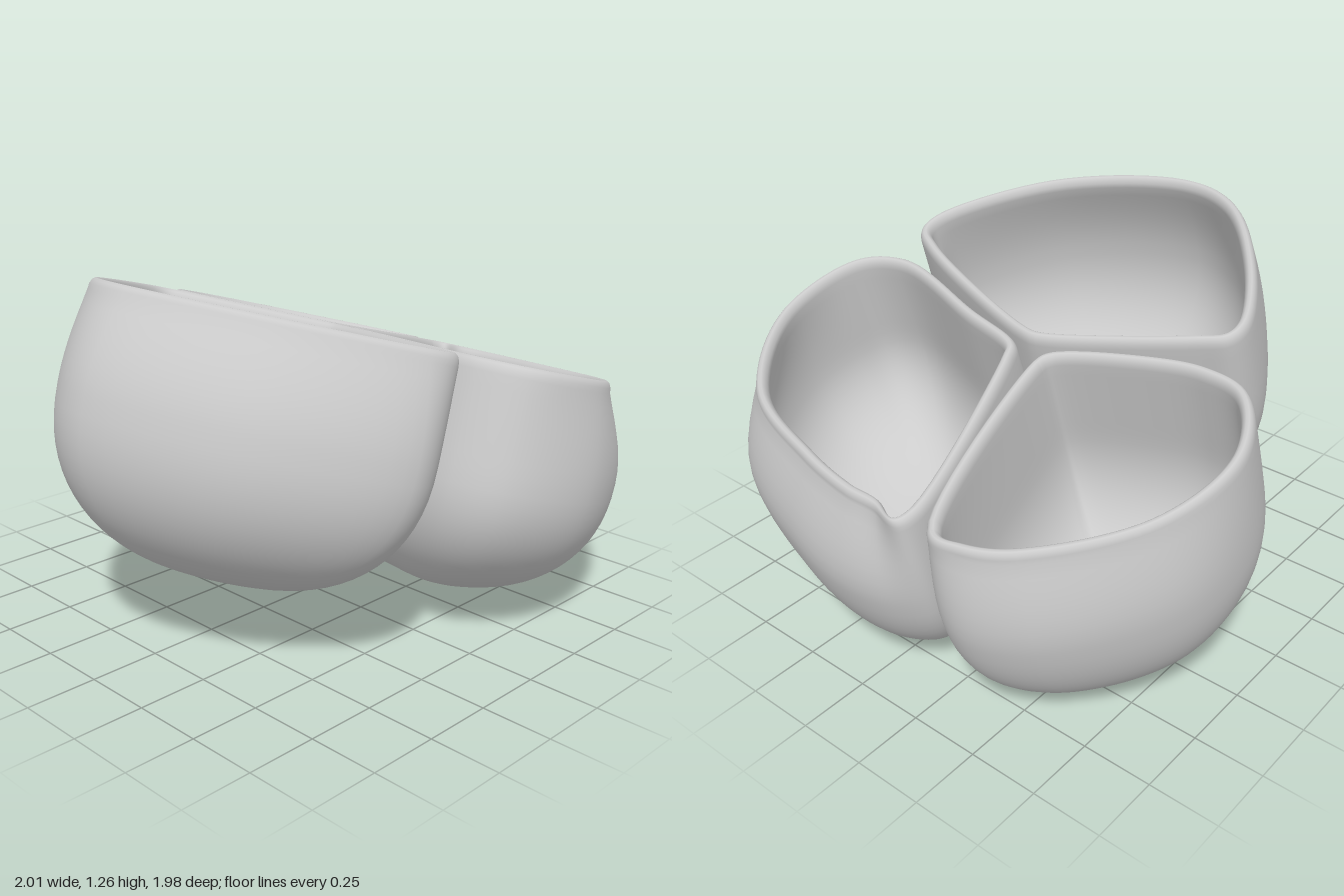
import * as THREE from 'three';

const material = new THREE.MeshStandardMaterial({ color: 0xcccccc, side: THREE.DoubleSide });
const SEGMENTS = 120;
const BULGE = -0.35;   // height of the widest section below the rim
const LIP = 0.045;     // width of the rounded rim
const LIP_HEIGHT = 0.04;
const WALL = 0.06;
const FULLNESS = 0.87; // below 1 makes the underside fuller than an ellipse
const SOFTEN = 10;     // samples averaged each way to round the corners underneath

// Each bowl: widest outline (clockwise from above), the centre of its underside,
// how far the sides close in towards the rim by direction, and its depth.
const bowls = [
  {
    name: 'largeHighBowl', centre: [-0.43, 0.03], lean: [-0.065, 0.03], depth: 0.56,
    outline: [
      [-1.07, 0], [-0.98, -0.27], [-0.68, -0.52], [-0.38, -0.665], [-0.28, -0.65],
      [-0.22, -0.56], [-0.1, -0.32], [0.01, -0.05], [0.01, 0.02], [-0.09, 0.35],
      [-0.22, 0.67], [-0.3, 0.78], [-0.44, 0.82], [-0.86, 0.52],
    ],
  },
  {
    name: 'frontLowBowl', centre: [0.46, 0.24], lean: [0.13, 0.035], depth: 0.51,
    outline: [
      [0.1, -0.04], [0.78, -0.235], [0.88, -0.235], [0.955, -0.13], [0.985, 0.05], [0.94, 0.33],
      [0.75, 0.77], [0.3, 0.985], [-0.05, 0.89], [-0.145, 0.7], [-0.03, 0.25], [0.04, 0],
    ],
  },
  {
    name: 'backLowBowl', centre: [0.39, -0.54], lean: [0.09, -0.03], depth: 0.5,
    outline: [
      [0.03, -0.13], [-0.11, -0.45], [-0.15, -0.65], [-0.11, -0.83], [0.14, -0.98],
      [0.5, -0.96], [0.86, -0.66], [0.945, -0.42], [0.86, -0.27], [0.1, -0.105],
    ],
  },
];

// Sample the widest outline and the rim opening at matching points
function sampleOutlines({ outline, lean }) {
  const n = outline.length;
  const outer = outline.map(([u, w]) => new THREE.Vector3(u, 0, w));
  const tilt = new THREE.Vector3(lean[0], 0, lean[1]);
  const inner = outer.map((p, i) => {
    const back = p.clone().sub(outer[(i + n - 1) % n]).normalize();
    const tangent = outer[(i + 1) % n].clone().sub(p).normalize().add(back).normalize();
    const outward = new THREE.Vector3(tangent.z, 0, -tangent.x);
    return p.clone().addScaledVector(outward, -0.05 - Math.max(0, outward.dot(tilt)));
  });
  return [outer, inner].map((points) => {
    const curve = new THREE.CatmullRomCurve3(points, true);
    return Array.from({ length: SEGMENTS }, (_, i) => curve.getPoint(i / SEGMENTS));
  });
}

// Running average of a closed loop
function softened(loop) {
  return loop.map((_, i) => {
    const sum = new THREE.Vector3();
    for (let k = -SOFTEN; k <= SOFTEN; k++) sum.add(loop[(i + k + SEGMENTS) % SEGMENTS]);
    return sum.divideScalar(2 * SOFTEN + 1);
  });
}

// Cross-sections from the underside, up over the lip and down the inside:
// offset(inset) gives the distance inward, scale shrinks towards the centre
function profileRows(depth) {
  const rows = [];
  const steps = 20, upper = 7;
  const rise = -LIP_HEIGHT - BULGE;
  const innerWall = (inset) => Math.min(inset, WALL);
  const addUnderside = (t, height, offset) => rows.push({
    v: BULGE - height * Math.sin(t * Math.PI / 2) ** FULLNESS,
    scale: Math.abs(Math.cos(t * Math.PI / 2)) ** FULLNESS,
    offset,
  });
  for (let j = 0; j <= steps; j++) addUnderside(1 - j / steps, depth, () => 0);
  for (let j = 1; j <= upper; j++) {
    const t = j / upper;
    const ease = 1 - Math.cos(t * Math.PI / 2);
    rows.push({ v: BULGE + rise * t, scale: 1, offset: (inset) => (inset - LIP) * ease });
  }
  // Rounded lip
  for (let j = 1; j <= upper; j++) {
    const a = (j / upper) * Math.PI;
    rows.push({
      v: LIP_HEIGHT * (Math.sin(a) - 1), scale: 1,
      offset: (inset) => inset - LIP * (1 + Math.cos(a)) / 2,
    });
  }
  for (let j = 1; j <= upper; j++) {
    const t = j / upper;
    const ease = Math.sin(t * Math.PI / 2);
    rows.push({
      v: -LIP_HEIGHT - rise * t, scale: 1,
      offset: (inset) => inset + (innerWall(inset) - inset) * ease,
    });
  }
  for (let j = 1; j <= steps; j++) addUnderside(j / steps, depth - WALL, innerWall);
  return rows;
}

function bowlGeometry(bowl) {
  const [outer, inner] = sampleOutlines(bowl);
  const [cu, cw] = bowl.centre;
  const rows = profileRows(bowl.depth);
  const positions = [], index = [];
  rows.forEach(({ v, scale, offset }, j) => {
    const loop = outer.map((p, i) => {
      const inset = p.distanceTo(inner[i]);
      return p.clone().lerp(inner[i], offset(inset) / inset);
    });
    const soft = softened(loop);
    for (let i = 0; i < SEGMENTS; i++) {
      const p = loop[i].lerp(soft[i], 1 - scale);
      positions.push(cu + (p.x - cu) * scale, v, cw + (p.z - cw) * scale);
      if (j === rows.length - 1) continue;
      const a = j * SEGMENTS + i, b = j * SEGMENTS + (i + 1) % SEGMENTS;
      const c = a + SEGMENTS, d = b + SEGMENTS;
      index.push(a, c, b, b, c, d);
    }
  });
  const geometry = new THREE.BufferGeometry();
  geometry.setAttribute('position', new THREE.Float32BufferAttribute(positions, 3));
  geometry.setIndex(index);
  geometry.computeVertexNormals();
  return geometry;
}

export function createModel() {
  const model = new THREE.Group();
  model.name = 'tripleBowl';
  // The bowls share one sloping rim plane and meet at a common corner
  const cluster = new THREE.Group();
  cluster.name = 'tiltedBowls';
  cluster.position.set(0.15, 0.99, 0);
  cluster.rotation.z = -Math.atan(0.295);
  for (const bowl of bowls) {
    const mesh = new THREE.Mesh(bowlGeometry(bowl), material);
    mesh.name = bowl.name;
    cluster.add(mesh);
  }
  model.add(cluster);
  return model;
}
